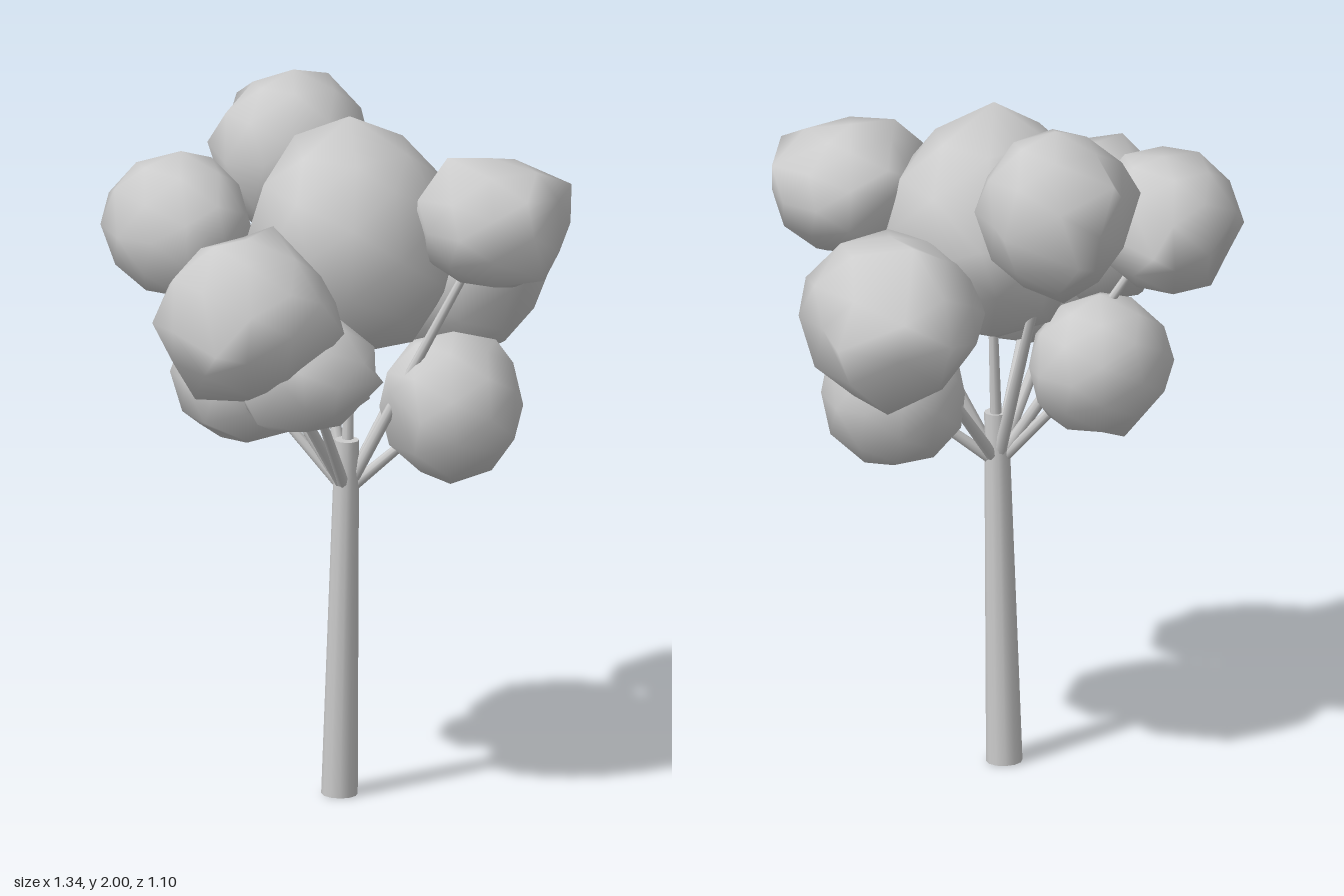
import * as THREE from 'three';
import { mergeVertices } from 'three/addons/utils/BufferGeometryUtils.js';

const material = new THREE.MeshStandardMaterial({ color: 0xcccccc });

// small seeded random generator
function seeded(seed) {
  let s = seed * 7919 + 17;
  return () => {
    s = (s * 16807) % 2147483647;
    return s / 2147483647;
  };
}

// tapered limb between two points
function limb(name, from, to, r0, r1, sides) {
  const a = new THREE.Vector3(...from), b = new THREE.Vector3(...to);
  const dir = b.clone().sub(a);
  const mesh = new THREE.Mesh(new THREE.CylinderGeometry(r1, r0, dir.length(), sides), material);
  mesh.position.copy(a).add(b).multiplyScalar(0.5);
  mesh.quaternion.setFromUnitVectors(new THREE.Vector3(0, 1, 0), dir.normalize());
  mesh.name = name;
  return mesh;
}

// lumpy leaf ball: a faceted ellipsoid whose nearest vertices are pulled out to a few corners
function leafBall(name, seed, center, radii, corners) {
  const rand = seeded(seed);
  let geo = new THREE.IcosahedronGeometry(1, 1);
  geo.deleteAttribute('uv');
  geo.deleteAttribute('normal');
  geo = mergeVertices(geo, 1e-3);

  const pos = geo.attributes.position, v = new THREE.Vector3();
  const jitter = () => (rand() - 0.5) * 0.07;
  for (let i = 0; i < pos.count; i++) {
    v.fromBufferAttribute(pos, i);
    pos.setXYZ(i, v.x + jitter(), v.y + jitter(), v.z + jitter());
  }
  geo.scale(...radii);

  const used = new Set();
  for (const corner of corners) {
    const target = new THREE.Vector3(...corner).sub(new THREE.Vector3(...center));
    let best = -1, bestDistance = Infinity;
    for (let i = 0; i < pos.count; i++) {
      const d = v.fromBufferAttribute(pos, i).distanceTo(target);
      if (d < bestDistance && !used.has(i)) {
        best = i;
        bestDistance = d;
      }
    }
    used.add(best);
    pos.setXYZ(best, target.x, target.y, target.z);
  }
  geo.computeVertexNormals();

  const mesh = new THREE.Mesh(geo, material);
  mesh.position.set(...center);
  mesh.name = name;
  return mesh;
}

export function createModel() {
  const tree = new THREE.Group();
  tree.name = 'tree';

  // slightly leaning trunk
  tree.add(limb('trunk', [-0.018, 0, 0.016], [-0.015, 1.03, 0.05], 0.051, 0.034, 12));

  // leaf balls: name, seed, centre, radii, corners
  const foliage = new THREE.Group();
  foliage.name = 'foliage';
  foliage.add(
    leafBall('crownLeaves', 3, [0.02, 1.6, 0.03], [0.3, 0.33, 0.29],
      [[0, 1.96, 0.04], [-0.28, 1.63, 0.08], [0, 1.265, 0.02], [0.24, 1.65, -0.24], [0.32, 1.62, 0.1],
        [0, 1.6, 0.32], [-0.16, 1.86, 0.05], [0.03, 1.78, 0.23], [0.02, 1.83, -0.13]]),
    leafBall('topBackLeaves', 4, [0.05, 1.76, -0.335], [0.22, 0.24, 0.21],
      [[0, 1.89, -0.545], [0.12, 1.67, -0.545], [0.28, 1.75, -0.41], [0.05, 2, -0.33], [0.05, 1.5, -0.37],
        [-0.17, 1.8, -0.43], [0.1, 1.78, -0.12], [0.22, 1.75, -0.18], [-0.13, 1.78, -0.2]]),
    leafBall('leftLeaves', 5, [0.41, 1.435, -0.05], [0.25, 0.24, 0.28],
      [[0.31, 1.42, -0.32], [0.565, 1.42, -0.315], [0.67, 1.425, -0.16], [0.42, 1.68, -0.17], [0.5, 1.2, -0.16],
        [0.61, 1.43, 0], [0.53, 1.43, 0.13], [0.4, 1.56, 0.19], [0.42, 1.2, 0.02]]),
    leafBall('frontLeftLeaves', 6, [0.29, 1.68, 0.33], [0.22, 0.19, 0.21],
      [[0.3, 1.72, 0.11], [0.51, 1.77, 0.39], [0.37, 1.78, 0.545], [0.06, 1.77, 0.3], [0.34, 1.49, 0.36],
        [0.17, 1.87, 0.28], [0.38, 1.84, 0.3], [0.33, 1.55, 0.53], [0.1, 1.68, 0.45]]),
    leafBall('rightLeaves', 7, [-0.42, 1.47, 0.17], [0.24, 0.23, 0.25],
      [[-0.67, 1.47, 0.07], [-0.62, 1.42, 0.32], [-0.185, 1.5, 0.26], [-0.54, 1.7, 0.19], [-0.29, 1.7, 0.1],
        [-0.56, 1.245, 0.12], [-0.45, 1.245, 0.22], [-0.48, 1.45, -0.07], [-0.24, 1.45, 0.39]]),
    leafBall('backRightLeaves', 8, [-0.365, 1.625, -0.275], [0.2, 0.205, 0.235],
      [[-0.57, 1.62, -0.27], [-0.46, 1.62, -0.44], [-0.35, 1.6, -0.51], [-0.2, 1.6, -0.45], [-0.52, 1.62, -0.17],
        [-0.34, 1.83, -0.3]]),
    leafBall('lowFrontRightLeaves', 9, [-0.27, 1.3, 0.24], [0.2, 0.17, 0.175],
      [[-0.48, 1.285, 0.22], [-0.43, 1.18, 0.24], [-0.06, 1.2, 0.24], [-0.13, 1.3, 0.42], [-0.25, 1.465, 0.24],
        [-0.42, 1.32, 0.35], [-0.07, 1.36, 0.28], [-0.27, 1.13, 0.22]]),
    leafBall('lowFrontLeftLeaves', 10, [0.26, 1.115, 0.155], [0.2, 0.215, 0.215],
      [[0.25, 0.89, 0.17], [0.46, 1.11, 0.15], [0.25, 1.335, 0.19], [0.28, 1.02, 0.365], [0.06, 1.18, 0.15],
        [0.4, 1.285, 0.17]]),
    leafBall('lowBackRightLeaves', 11, [-0.215, 1.2, -0.17], [0.205, 0.2, 0.2],
      [[-0.24, 1, -0.25], [-0.22, 1.2, -0.37], [-0.1, 1.04, -0.08], [-0.36, 1.075, -0.17]]),
  );

  // one thin branch from the fork into each leaf ball
  const branches = new THREE.Group();
  branches.name = 'branches';
  for (const ball of foliage.children) {
    branches.add(limb('branch', [-0.015, 0.88, 0.045], ball.position.toArray(), 0.018, 0.01, 8));
  }
  tree.add(branches, foliage);
  return tree;
}
